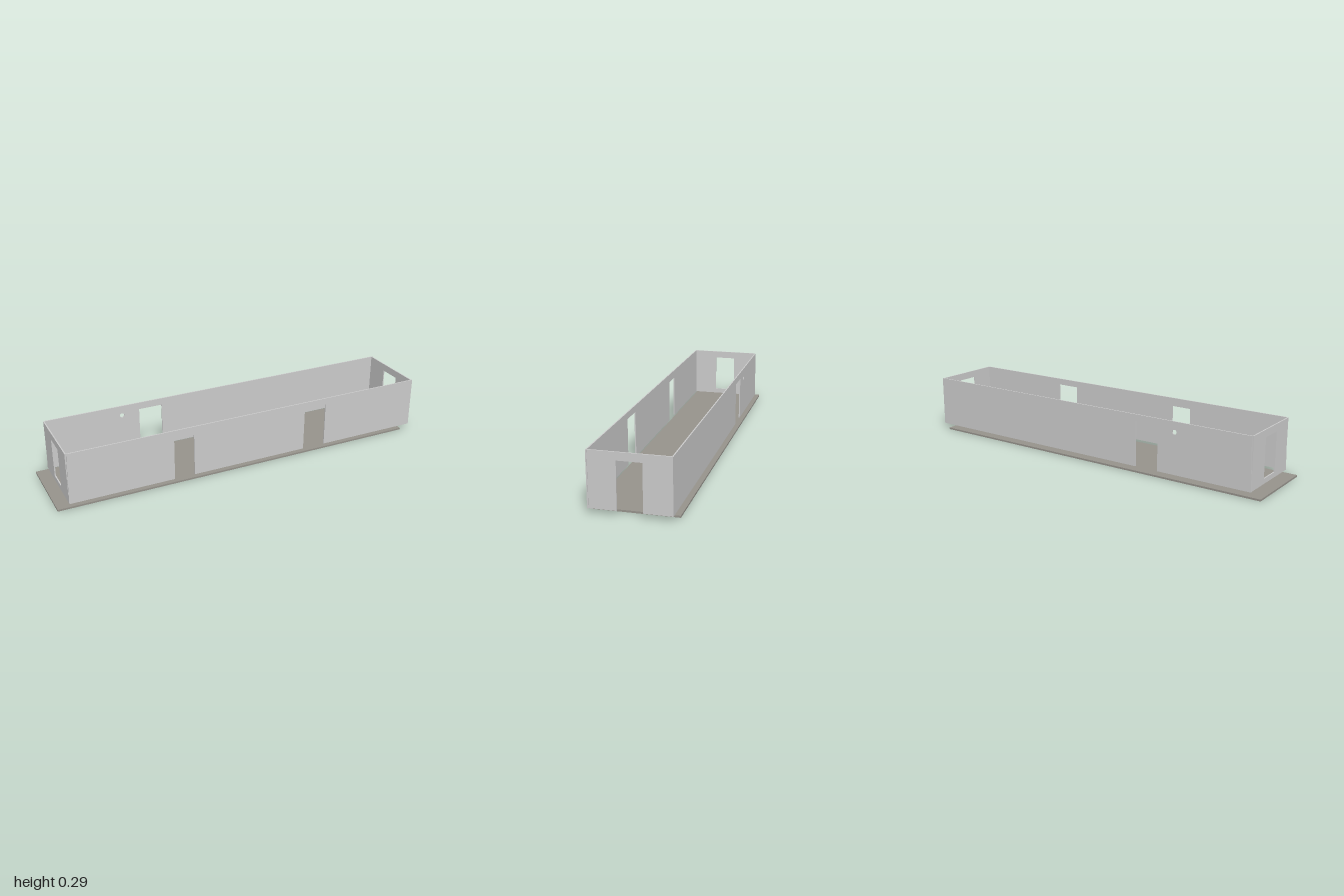
import * as THREE from 'three';

const T = 0.006;               // wall thickness
const BASE = 0.024, TOP = 0.288; // wall bottom and top

// Upright wall panel; doors are notches [left, right, top] cut from the bottom edge
function wallShape(left, right, doors = [], lean = 0) {
  const s = new THREE.Shape();
  s.moveTo(left, BASE);
  for (const [a, b, top] of doors) {
    s.lineTo(a, BASE);
    s.lineTo(a + 0.002, top);
    s.lineTo(b, top);
    s.lineTo(b, BASE);
  }
  s.lineTo(right, BASE);
  s.lineTo(right, TOP);
  s.lineTo(left + lean, TOP);
  s.closePath();
  return s;
}

function rectHole(x0, x1, y0, y1) {
  return new THREE.Path([[x0, y0], [x0, y1], [x1, y1], [x1, y0]].map(p => new THREE.Vector2(...p)));
}

export function createModel() {
  const model = new THREE.Group();
  const wallMat = new THREE.MeshStandardMaterial({ color: 0xcccccc });
  wallMat.name = 'wallGrey';
  const floorMat = new THREE.MeshStandardMaterial({ color: 0x96938c });
  floorMat.name = 'floorGrey';

  const add = (name, geo, mat) => {
    const mesh = new THREE.Mesh(geo, mat);
    mesh.name = name;
    model.add(mesh);
    return mesh;
  };
  const extrude = (shape, depth) =>
    new THREE.ExtrudeGeometry(shape, { depth, bevelEnabled: false, curveSegments: 6 });

  // Floor slab with a shallow rim underneath
  const floor = add('floor', new THREE.BoxGeometry(1.94, 0.006, 0.4), floorMat);
  floor.position.set(-0.03, 0.006, 0);
  const rim = new THREE.Shape([[-1, -0.2], [0.94, -0.2], [0.94, 0.2], [-1, 0.2]].map(p => new THREE.Vector2(...p)));
  rim.holes.push(rectHole(-0.975, 0.915, -0.175, 0.175));
  add('floorRim', extrude(rim, 0.003).rotateX(-Math.PI / 2), floorMat);

  // Front wall with two doorways
  const front = wallShape(-0.942, 0.993, [[-0.407, -0.3, 0.245], [0.32, 0.446, 0.255]], 0.008);
  add('frontWall', extrude(front, T).translate(0, 0, 0.198 - T), wallMat);

  // Back wall with one doorway and a small round port
  const back = wallShape(-0.942, 0.993, [[-0.446, -0.32, 0.252]], 0.008);
  const port = new THREE.Path();
  port.absarc(-0.537, 0.236, 0.012, 0, Math.PI * 2, true);
  back.holes.push(port);
  add('backWall', extrude(back, T).translate(0, 0, -0.182), wallMat);

  // End walls: one with a doorway, one with a window
  const doorEnd = wallShape(-0.193, 0.177, [[-0.067, 0.05, 0.25]]);
  add('doorEndWall', extrude(doorEnd, T).rotateY(Math.PI / 2).translate(0.984, 0, 0), wallMat);

  const windowEnd = wallShape(-0.192, 0.176);
  windowEnd.holes.push(rectHole(-0.066, 0.048, 0.05, 0.25));
  add('windowEndWall', extrude(windowEnd, T).rotateY(Math.PI / 2).translate(-0.941, 0, 0), wallMat);

  return model;
}
